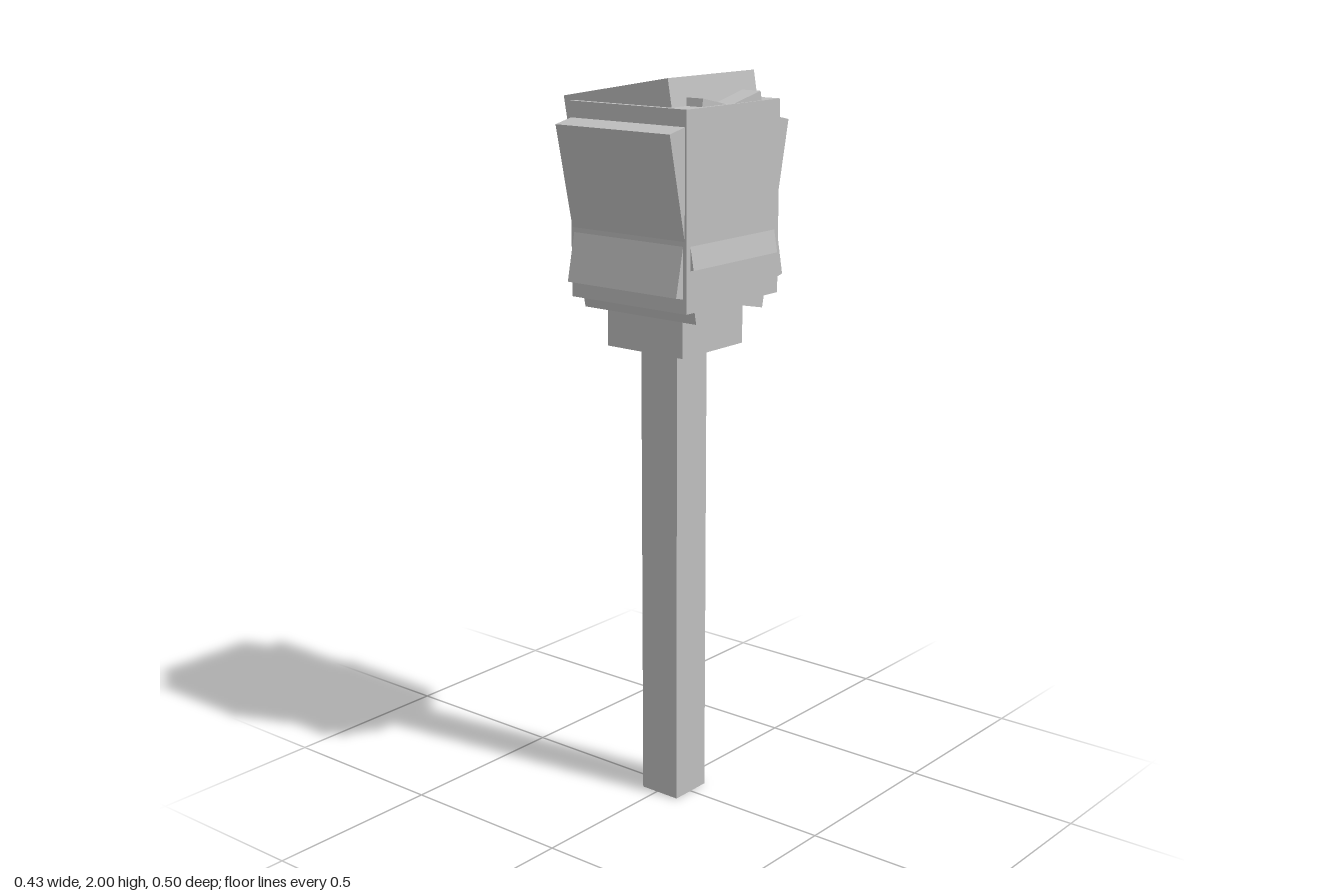
import * as THREE from 'three';

export function createModel() {
  const model = new THREE.Group();
  const grey = new THREE.MeshStandardMaterial({ color: 0xbfbfbf });
  grey.name = 'plainGrey';

  // Box given by size, centre and tilt
  function block(name, size, centre, tiltX = 0, tiltZ = 0) {
    const mesh = new THREE.Mesh(new THREE.BoxGeometry(...size), grey);
    mesh.name = name;
    mesh.position.set(...centre);
    mesh.rotation.set(tiltX, 0, tiltZ);
    model.add(mesh);
  }

  // Shaft and the collar below the head
  block('handle', [0.122, 1.29, 0.126], [0.01, 0.645, 0]);
  block('collar', [0.254, 0.14, 0.254], [0.012, 1.355, -0.003]);

  // Upright core of the head
  block('headCore', [0.385, 0.51, 0.386], [0.011, 1.675, -0.004]);

  // Blocks run through the core, leaning forward, back and sideways
  block('forwardBlock', [0.376, 0.5, 0.376], [0.01, 1.67, 0.011], 0.214);
  block('backwardBlock', [0.365, 0.498, 0.37], [0.0105, 1.668, -0.017], -0.214);
  block('sidewaysBlock', [0.352, 0.478, 0.353], [-0.001, 1.735, -0.0035], 0, 0.176);

  return model;
}
